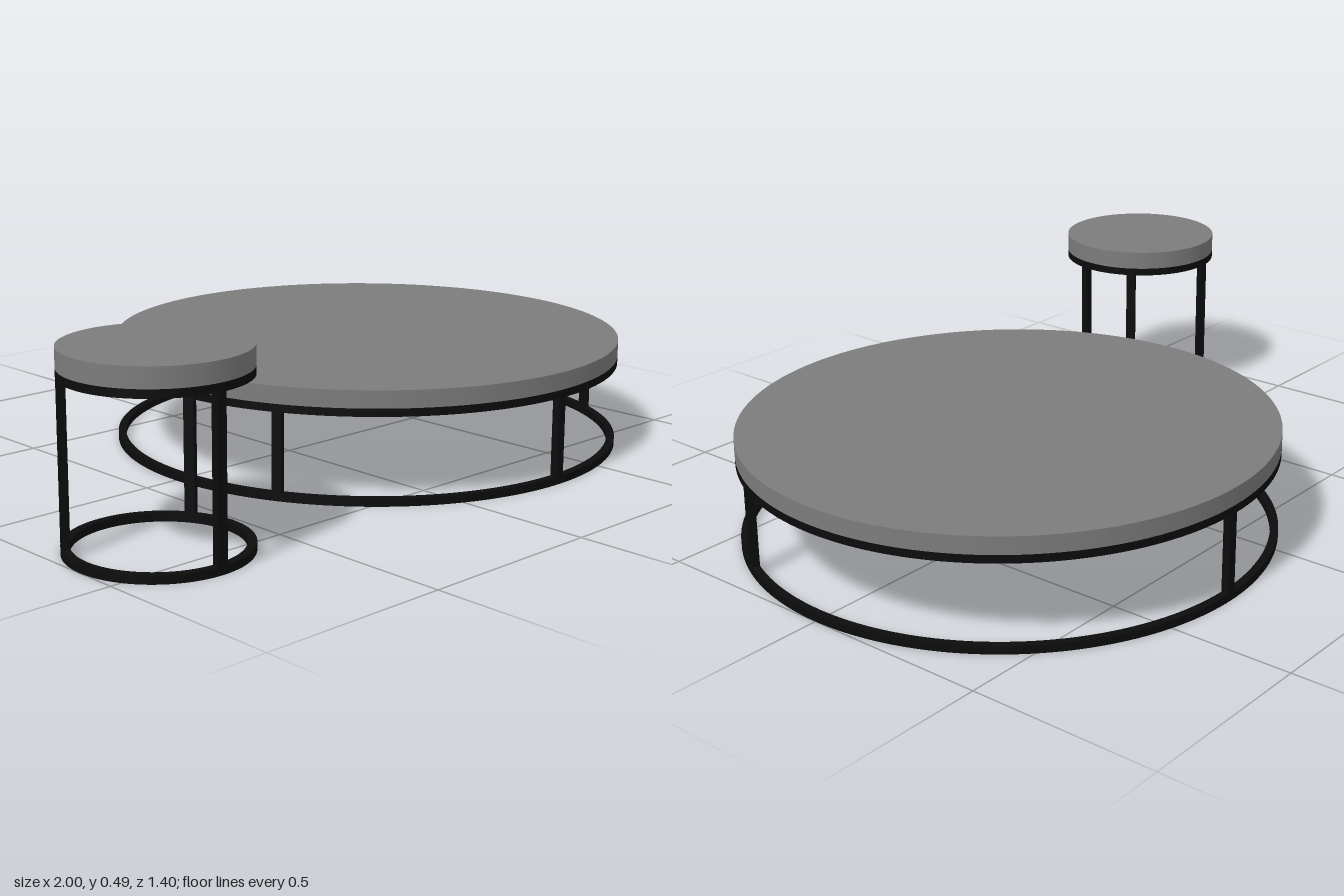
import * as THREE from 'three';

const stone = new THREE.MeshStandardMaterial({ color: 0x7c7c7c });
const metal = new THREE.MeshStandardMaterial({ color: 0x0c0c0c });
const BAR = 0.021; // radial and vertical thickness of the frame bars
const LEG_WIDTH = 0.026;

function add(parent, name, geometry, material, x, y, z) {
  const mesh = new THREE.Mesh(geometry, material);
  mesh.name = name;
  mesh.position.set(x, y, z);
  parent.add(mesh);
  return mesh;
}

// Flat ring of square section, standing on its local y = 0
function ringGeometry(radius) {
  const inner = radius - BAR;
  const profile = [[inner, 0], [radius, 0], [radius, BAR], [inner, BAR], [inner, 0]];
  // each side is its own segment pair so the edges stay sharp
  const points = profile.map(([r, y]) => new THREE.Vector2(r, y));
  const shape = new THREE.Shape().absarc(0, 0, radius, 0, Math.PI * 2);
  shape.holes.push(new THREE.Path().absarc(0, 0, points[0].x, 0, Math.PI * 2, true));
  const geometry = new THREE.ExtrudeGeometry(shape, { depth: BAR, bevelEnabled: false, curveSegments: 96 });
  return geometry.rotateX(-Math.PI / 2);
}

// Round table: two rings, legs at the given angles (from +z towards +x), solid top
function roundTable(name, radius, height, topThickness, legAngles) {
  const table = new THREE.Group();
  table.name = name;
  const underside = height - topThickness;
  const upperRingY = underside - BAR;

  add(table, 'baseRing', ringGeometry(radius), metal, 0, 0, 0);
  add(table, 'upperRing', ringGeometry(radius), metal, 0, upperRingY, 0);

  const legGeometry = new THREE.BoxGeometry(LEG_WIDTH, upperRingY - BAR, BAR * 0.95);
  const legRadius = radius - BAR / 2;
  for (const angle of legAngles) {
    const leg = add(table, 'leg', legGeometry, metal,
      Math.sin(angle) * legRadius, upperRingY / 2 + BAR / 2, Math.cos(angle) * legRadius);
    leg.rotation.y = angle;
  }

  add(table, 'tableTop', new THREE.CylinderGeometry(radius, radius, topThickness, 128), stone,
    0, underside + topThickness / 2, 0);
  return table;
}

export function createModel() {
  const model = new THREE.Group();
  model.name = 'nestingTables';
  const deg = Math.PI / 180;

  const coffeeTable = roundTable('coffeeTable', 0.702, 0.297, 0.046, [0, 64 * deg, 180 * deg, -64 * deg]);
  coffeeTable.position.set(0.298, 0, 0);

  const sideTable = roundTable('sideTable', 0.225, 0.487, 0.05, [0, 120 * deg, -120 * deg]);
  sideTable.position.set(-0.775, 0, 0.39);

  model.add(coffeeTable, sideTable);
  return model;
}
